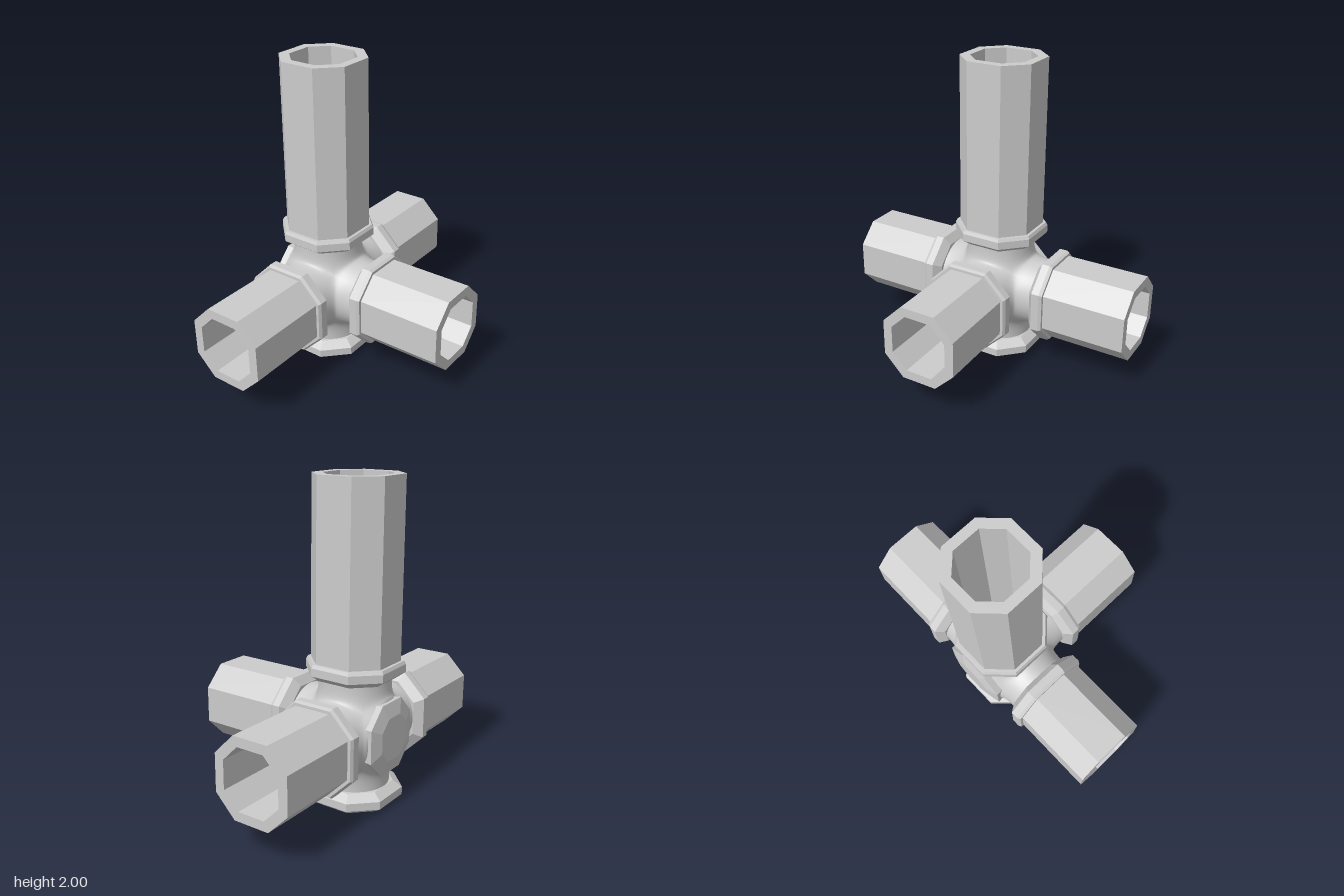
import * as THREE from 'three';
import { mergeGeometries, mergeVertices } from 'three/addons/utils/BufferGeometryUtils.js';

const UP = new THREE.Vector3(0, 1, 0);

// Skin between closed cross-sections, ordered along +y for outward faces.
function loft(sections, closeEnd = false) {
  const pos = [];
  for (let i = 0; i < sections.length - 1; i++) {
    const lo = sections[i], hi = sections[i + 1], n = lo.length;
    for (let j = 0; j < n; j++) {
      const k = (j + 1) % n;
      pos.push(...lo[j], ...hi[j], ...hi[k], ...lo[j], ...hi[k], ...lo[k]);
    }
  }
  if (closeEnd) {
    const end = sections[sections.length - 1];
    for (let j = 1; j < end.length - 1; j++) pos.push(...end[0], ...end[j + 1], ...end[j]);
  }
  const g = new THREE.BufferGeometry();
  g.setAttribute('position', new THREE.Float32BufferAttribute(pos, 3));
  return g;
}

// Chamfered square with flats at distance h from the axis.
function octagon(y, h) {
  const c = h * 0.47;
  return [[h, -c], [h, c], [c, h], [-c, h], [-h, c], [-h, -c], [-c, -h], [c, -h]]
    .map(([x, z]) => [x, y, z]);
}

const octLoft = (profile, closeEnd) =>
  loft(profile.map(([y, h]) => octagon(y, h)), closeEnd);

// One sixth of the hub: a rounded cube face flowing into a round neck.
function hubSide(neckY, neckR) {
  const N = 48, STEPS = 8, CORNER = 0.18, EDGE = 0.235;
  const sections = [];
  for (let i = 0; i <= STEPS; i++) {
    const s = i / STEPS, ring = [];
    for (let j = 0; j < N; j++) {
      const a = (j / N) * Math.PI * 2;
      const c = Math.cos(a), q = Math.sin(a), m = Math.max(Math.abs(c), Math.abs(q));
      const t = Math.min(Math.abs(c), Math.abs(q)) / m;
      const d = EDGE - (EDGE - CORNER) * t * t;
      const place = (v) => (Math.abs(v) === m ? Math.sign(v) * d : CORNER * v / m);
      const bx = place(c), bz = place(q), rx = c * neckR, rz = q * neckR;
      const lift = d + (d - m * neckR) + t * t * (CORNER * t - t * m * neckR);
      const ctrl = Math.min(lift, neckY);
      const w0 = (1 - s) * (1 - s), w1 = 2 * s * (1 - s), w2 = s * s;
      ring.push([
        w0 * bx + (w1 + w2) * rx,
        w0 * d + w1 * ctrl + w2 * neckY,
        w0 * bz + (w1 + w2) * rz,
      ]);
    }
    sections.push(ring);
  }
  return loft(sections);
}

export function createModel() {
  const model = new THREE.Group();
  model.name = 'pipeJunction';
  const fitting = new THREE.Group();
  fitting.position.set(0, 0.455, -0.355);
  model.add(fitting);

  const faceted = new THREE.MeshStandardMaterial({
    color: 0xcccccc, flatShading: true, side: THREE.DoubleSide });
  const smooth = new THREE.MeshStandardMaterial({ color: 0xcccccc, side: THREE.DoubleSide });

  const add = (name, geometry, rotation) => {
    geometry.computeVertexNormals();
    const mesh = new THREE.Mesh(geometry, faceted);
    mesh.name = name;
    mesh.quaternion.copy(rotation);
    fitting.add(mesh);
  };

  // Collar with a bevelled back and lip, and the open socket at the bottom
  const collar = [[0.335, 0.2], [0.335, 0.222], [0.375, 0.275], [0.425, 0.275],
    [0.445, 0.265], [0.445, 0.235]];
  const openCollar = [[0.335, 0.2], [0.335, 0.222], [0.375, 0.275], [0.425, 0.275],
    [0.455, 0.235], [0.455, 0.225], [0.33, 0.188]];

  const arms = [
    { name: 'left', dir: [1, 0, 0], length: 0.99 },
    { name: 'right', dir: [-1, 0, 0], length: 0.99 },
    { name: 'top', dir: [0, 1, 0], length: 1.545 },
    { name: 'front', dir: [0, 0, 1], length: 0.995 },
    { name: 'bottom', dir: [0, -1, 0] },
    { name: 'back', dir: [0, 0, -1] },
  ];

  const sides = [];
  for (const { name, dir, length } of arms) {
    const rotation = new THREE.Quaternion().setFromUnitVectors(UP, new THREE.Vector3(...dir));
    const isBack = name === 'back';
    sides.push((isBack ? hubSide(0.242, 0.21) : hubSide(0.34, 0.22)).applyQuaternion(rotation));

    if (isBack) {
      // Bevelled plate closing the back
      add('backPlate', octLoft([[0.2, 0.215], [0.262, 0.222], [0.285, 0.135]], true), rotation);
      continue;
    }
    add(name + 'Collar', octLoft(length ? collar : openCollar), rotation);
    if (length) {
      // Hollow eight-sided pipe
      add(name + 'Pipe', octLoft([[0.42, 0.247], [length, 0.247], [length, 0.188],
        [0.31, 0.188]]), rotation);
    }
  }

  // Smooth hub joining all the necks
  const hubGeometry = mergeVertices(mergeGeometries(sides), 1e-3);
  hubGeometry.computeVertexNormals();
  const hub = new THREE.Mesh(hubGeometry, smooth);
  hub.name = 'hub';
  fitting.add(hub);

  return model;
}
